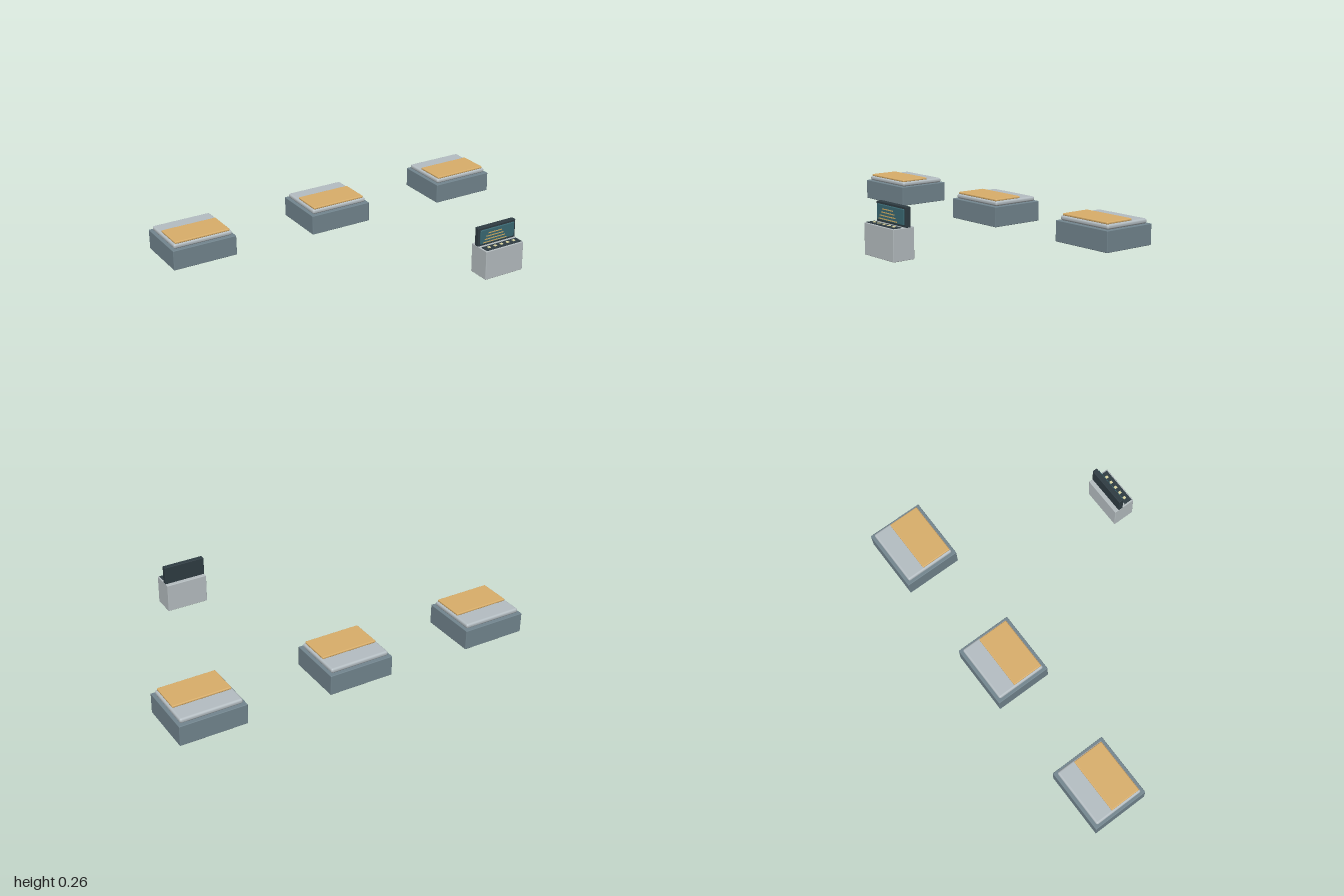
import * as THREE from 'three';
import { RoundedBoxGeometry } from 'three/addons/geometries/RoundedBoxGeometry.js';

const material = (color) => new THREE.MeshStandardMaterial({ color });
const mats = {
  base: material(0x72858e),
  mattress: material(0xb4bdc2),
  blanket: material(0xd9ae6a),
  cabinet: material(0xb5bdc0),
  dark: material(0x2e3b42),
  screen: material(0x3a6872),
  amber: material(0xd0ab62),
  button: material(0xd8d3a0),
};

// Box given by centre x, bottom y, centre z and its size; optional edge radius
function block(parent, name, mat, [x, y, z], [w, h, d], radius = 0) {
  const geometry = radius
    ? new RoundedBoxGeometry(w, h, d, 3, radius)
    : new THREE.BoxGeometry(w, h, d);
  const mesh = new THREE.Mesh(geometry, mat);
  mesh.name = name;
  mesh.position.set(x, y + h / 2, z);
  parent.add(mesh);
  return mesh;
}

// Plinth with a soft mattress and a blanket over its front part
function createBed(x) {
  const bed = new THREE.Group();
  bed.name = 'bed';
  block(bed, 'bedBase', mats.base, [0, 0, 0], [0.36, 0.11, 0.314], 0.003);
  block(bed, 'mattress', mats.mattress, [0, 0.11, 0], [0.332, 0.026, 0.281], 0.011);
  block(bed, 'blanket', mats.blanket, [0, 0.134, 0.047], [0.312, 0.013, 0.174], 0.005);
  bed.position.set(x, 0, -0.468);
  return bed;
}

// Cabinet with an upright display and a row of buttons
function createConsole() {
  const desk = new THREE.Group();
  desk.name = 'console';
  block(desk, 'cabinet', mats.cabinet, [0, 0, 0], [0.234, 0.158, 0.124], 0.003);
  block(desk, 'displayHousing', mats.dark, [0, 0.156, -0.025], [0.234, 0.101, 0.028], 0.003);
  block(desk, 'displayScreen', mats.screen, [0, 0.168, -0.009], [0.212, 0.077, 0.01], 0.003);

  // Readout bars, longer toward the bottom
  for (let i = 0; i < 4; i++) {
    block(desk, 'readoutBar', mats.amber,
      [-0.017, 0.222 - i * 0.0162, -0.0035], [0.086 + i * 0.021, 0.005, 0.002]);
  }

  block(desk, 'buttonPanel', mats.dark, [0, 0.157, 0.032], [0.218, 0.004, 0.046]);
  for (let i = -2; i <= 2; i++) {
    block(desk, 'button', mats.button, [i * 0.0388, 0.16, 0.03], [0.015, 0.004, 0.015]);
  }
  desk.position.set(0.407, 0, 0.563);
  return desk;
}

export function createModel() {
  const model = new THREE.Group();
  model.name = 'bedsAndConsole';
  for (const x of [-0.82, 0, 0.82]) model.add(createBed(x));
  model.add(createConsole());
  return model;
}
